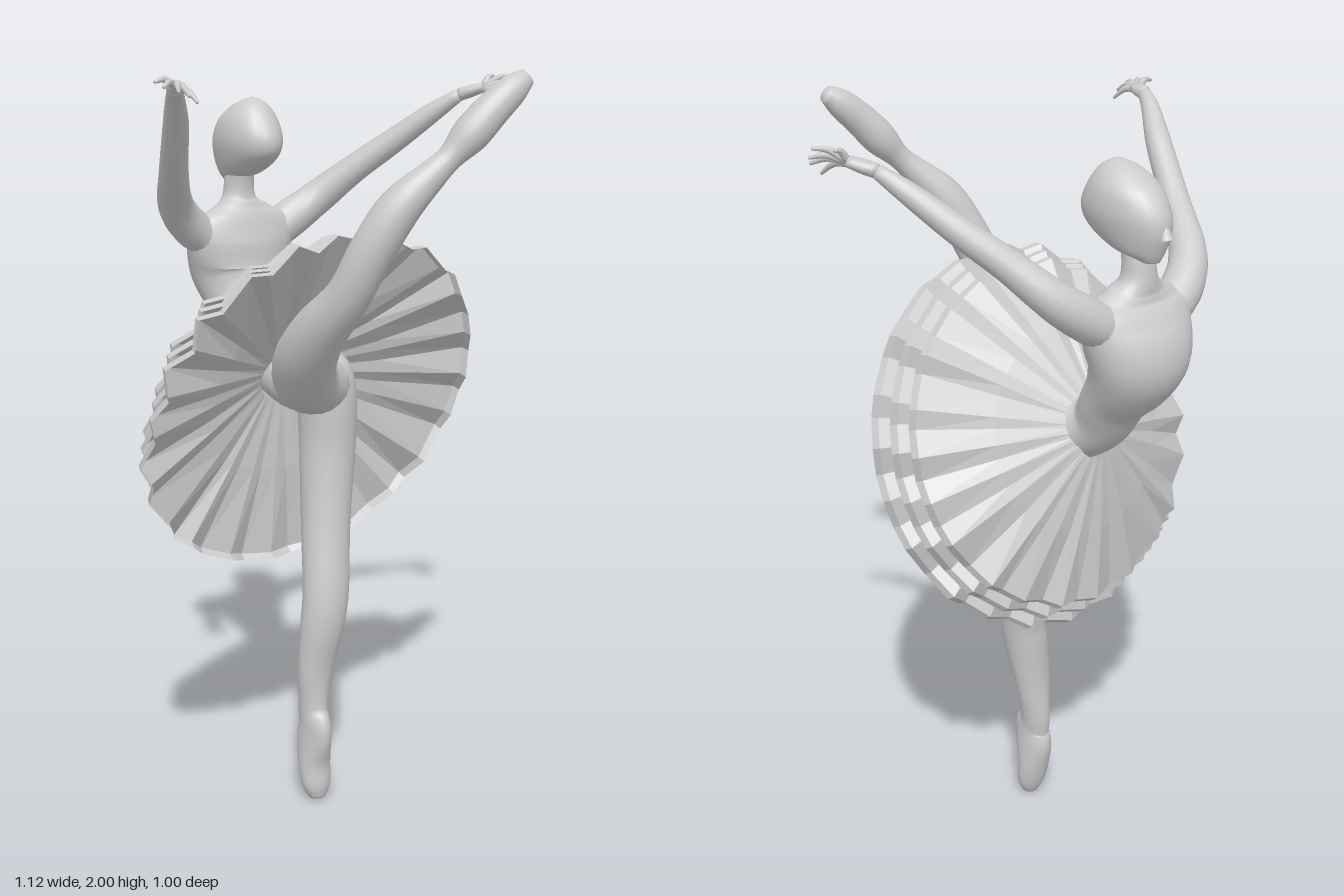
import * as THREE from 'three';

const grey = new THREE.MeshStandardMaterial({ color: 0xcccccc });
const cloth = new THREE.MeshStandardMaterial({ color: 0xcccccc, flatShading: true, side: THREE.DoubleSide });

function mesh(name, geometry, material = grey) {
  const m = new THREE.Mesh(geometry, material);
  m.name = name;
  return m;
}

// Smooth body part swept through stations [x, y, z, radiusU, radiusV]; both ends closed.
// Sections stand square to the path, or to a fixed axis if one is given.
function limb(name, stations, ref = [0, 0, 1], sides = 20, steps = 5, axis = null) {
  const path = new THREE.CatmullRomCurve3(stations.map(s => new THREE.Vector3(s[0], s[1], s[2])), false, 'catmullrom');
  const size = new THREE.CatmullRomCurve3(stations.map(s => new THREE.Vector3(s[3], s[4] ?? s[3], 0)), false, 'catmullrom');
  const n = (stations.length - 1) * steps;
  const r = new THREE.Vector3(...ref);
  const pos = [], index = [];
  for (let i = 0; i <= n; i++) {
    const c = path.getPoint(i / n), s = size.getPoint(i / n);
    const t = axis ? new THREE.Vector3(...axis) : path.getTangent(i / n);
    const u = new THREE.Vector3().crossVectors(r, t).normalize();
    const v = new THREE.Vector3().crossVectors(t, u);
    for (let j = 0; j < sides; j++) {
      const a = j / sides * Math.PI * 2;
      const p = c.clone().addScaledVector(u, Math.cos(a) * s.x).addScaledVector(v, Math.sin(a) * s.y);
      pos.push(p.x, p.y, p.z);
      if (i === n) continue;
      const k = (j + 1) % sides, o = i * sides;
      index.push(o + j, o + k, o + sides + j, o + k, o + sides + k, o + sides + j);
    }
  }
  // rounded end caps
  [0, 1].forEach(end => {
    const s = size.getPoint(end);
    const tip = path.getPoint(end).addScaledVector(path.getTangent(end), (end ? 0.4 : -0.4) * Math.min(s.x, s.y));
    const id = pos.length / 3, o = end * n * sides;
    pos.push(tip.x, tip.y, tip.z);
    for (let j = 0; j < sides; j++) {
      const k = (j + 1) % sides;
      if (end) index.push(o + j, o + k, id);
      else index.push(o + k, o + j, id);
    }
  });
  const g = new THREE.BufferGeometry();
  g.setAttribute('position', new THREE.Float32BufferAttribute(pos, 3));
  g.setIndex(index);
  g.computeVertexNormals();
  return mesh(name, g);
}

// One pleated skirt layer; profile points are [radius, height].
function pleats(name, profile, count, phase, seed) {
  const noise = i => { const s = Math.sin((i + 1) * 12.9898 + seed * 78.233) * 43758.5453; return s - Math.floor(s) - 0.5; };
  const cols = count * 2, pos = [], index = [];
  profile.forEach(([r, h], i) => {
    const k = Math.pow(r / 0.48, 2);
    for (let j = 0; j < cols; j++) {
      const fold = (j % 2 ? 1 : -1) * (0.8 + noise(j)) * k;
      const a = (j + phase + noise(j + 50) * 0.6) / cols * Math.PI * 2;
      const rr = r + fold * 0.009;
      pos.push(Math.cos(a) * rr, h + fold * 0.015, Math.sin(a) * rr);
      if (i === profile.length - 1) continue;
      const n = (j + 1) % cols, o = i * cols;
      index.push(o + j, o + n, o + cols + j, o + n, o + cols + n, o + cols + j);
    }
  });
  const g = new THREE.BufferGeometry();
  g.setAttribute('position', new THREE.Float32BufferAttribute(pos, 3));
  g.setIndex(index);
  g.computeVertexNormals();
  return mesh(name, g, cloth);
}

// Palm and fingers, each finger arching from the palm to its tip.
function hand(name, wrist, palm, tips) {
  const g = new THREE.Group();
  g.name = name;
  g.add(limb('palm', [[...wrist, 0.017], [...wrist.map((w, i) => (w + palm[i]) / 2), 0.024, 0.016], [...palm, 0.022, 0.013]], [0, 1, 0], 12, 3));
  tips.forEach((tip, i) => {
    const start = palm.map((p, k) => p + (tip[k] - p) * 0.1);
    const mid = palm.map((p, k) => p + (tip[k] - p) * 0.55 + (k === 1 ? 0.01 : 0));
    g.add(limb('finger' + (i + 1), [[...start, 0.01], [...mid, 0.008], [...tip, 0.004]], [0, 1, 0], 8, 3));
  });
  return g;
}

export function createModel() {
  const model = new THREE.Group();
  model.name = 'dancer';

  // Body: pelvis, waist, chest, shoulders and neck
  model.add(limb('torso', [
    [0.02, 1.18, -0.07, 0.07, 0.07], [-0.01, 1.20, -0.13, 0.1, 0.09], [-0.045, 1.25, -0.255, 0.082, 0.076],
    [-0.045, 1.335, -0.317, 0.1, 0.077], [-0.045, 1.405, -0.367, 0.122, 0.098], [-0.045, 1.465, -0.388, 0.142, 0.108],
    [-0.045, 1.54, -0.376, 0.162, 0.088], [-0.045, 1.59, -0.37, 0.16, 0.064], [-0.045, 1.62, -0.373, 0.1, 0.05],
    [-0.045, 1.65, -0.378, 0.05, 0.043], [-0.045, 1.70, -0.375, 0.04, 0.04], [-0.045, 1.76, -0.36, 0.04, 0.04],
  ], [0, 0, 1], 28));

  // Head, chin forward and hair swept back
  const head = new THREE.Group();
  head.name = 'head';
  head.add(limb('skull', [
    [-0.045, 1.698, -0.412, 0.022, 0.024], [-0.045, 1.722, -0.37, 0.05, 0.077], [-0.045, 1.765, -0.34, 0.068, 0.121],
    [-0.045, 1.81, -0.33, 0.077, 0.125], [-0.045, 1.86, -0.325, 0.07, 0.097], [-0.045, 1.897, -0.312, 0.044, 0.056],
    [-0.045, 1.914, -0.304, 0.016, 0.02],
  ], [0, 0, 1], 24, 5, [0, 1, 0]));
  const nose = mesh('nose', new THREE.ConeGeometry(0.017, 0.05, 8));
  nose.position.set(-0.045, 1.782, -0.455);
  nose.rotation.x = 0.25;
  head.add(nose);
  model.add(head);

  // Standing leg, on the toes
  model.add(limb('standingLeg', [
    [-0.045, 0.012, -0.015, 0.024, 0.022], [-0.045, 0.05, -0.02, 0.042, 0.034], [-0.045, 0.11, -0.03, 0.046, 0.042],
    [-0.045, 0.18, -0.03, 0.04, 0.06], [-0.045, 0.23, -0.025, 0.036, 0.058], [-0.043, 0.28, -0.038, 0.038, 0.045],
    [-0.036, 0.4, -0.033, 0.053, 0.043], [-0.022, 0.52, -0.023, 0.062, 0.056], [-0.008, 0.62, -0.025, 0.066, 0.058],
    [0.015, 0.8, -0.058, 0.068, 0.066], [0.038, 1.0, -0.082, 0.075, 0.078], [0.04, 1.13, -0.085, 0.077, 0.085],
    [0.035, 1.21, -0.085, 0.068, 0.078], [0.025, 1.26, -0.09, 0.04, 0.05],
  ]));

  // Raised leg, bent at the knee
  model.add(limb('raisedLeg', [
    [0.02, 1.18, -0.08, 0.083], [-0.08, 1.215, -0.01, 0.084], [-0.147, 1.295, 0.085, 0.08], [-0.168, 1.385, 0.18, 0.068],
    [-0.155, 1.48, 0.275, 0.055], [-0.128, 1.59, 0.33, 0.054], [-0.078, 1.69, 0.368, 0.051], [-0.01, 1.765, 0.403, 0.036],
    [0.03, 1.805, 0.419, 0.031], [0.075, 1.855, 0.435, 0.044], [0.125, 1.91, 0.452, 0.042], [0.175, 1.955, 0.465, 0.036],
    [0.21, 1.982, 0.473, 0.022],
  ], [1, -1, 0]));

  // Arms, swept up and behind
  model.add(limb('rightArm', [
    [-0.12, 1.53, -0.375, 0.05], [-0.2, 1.58, -0.368, 0.053], [-0.272, 1.65, -0.325, 0.047], [-0.34, 1.75, -0.212, 0.037],
    [-0.395, 1.865, -0.1, 0.032], [-0.435, 1.935, -0.03, 0.023], [-0.46, 1.96, 0.015, 0.017],
  ], [0, 1, 0], 16));
  model.add(limb('leftArm', [
    [0.03, 1.53, -0.375, 0.05], [0.11, 1.58, -0.37, 0.053], [0.19, 1.638, -0.345, 0.048], [0.265, 1.718, -0.275, 0.039],
    [0.34, 1.795, -0.195, 0.034], [0.405, 1.87, -0.112, 0.027], [0.45, 1.92, -0.05, 0.017],
  ], [0, 1, 0], 16));
  model.add(hand('rightHand', [-0.46, 1.96, 0.015], [-0.49, 1.965, 0.07],
    [[-0.558, 1.965, 0.135], [-0.535, 1.955, 0.16], [-0.505, 1.945, 0.155], [-0.475, 1.93, 0.14], [-0.55, 1.975, 0.08]]));
  model.add(hand('leftHand', [0.45, 1.92, -0.05], [0.49, 1.94, 0.0],
    [[0.555, 1.97, 0.045], [0.55, 1.945, 0.065], [0.53, 1.925, 0.09], [0.505, 1.9, 0.085], [0.53, 1.97, -0.005]]));

  // Tutu: three tilted layers of pleats, each wider and lower than the one above
  const tutu = new THREE.Group();
  tutu.name = 'tutu';
  for (let k = 0; k < 3; k++) {
    const rim = 0.438 + k * 0.026, h = 0.085 - k * 0.042, top = 0.24 - k * 0.05;
    tutu.add(pleats('skirtLayer' + (k + 1),
      [[0.075, top], [0.26, (top + h) / 2 + 0.003], [rim, h], [rim + 0.006, h - 0.022]], 22, k * 0.25, 1));
  }
  tutu.position.set(-0.045, 1.142, -0.03);
  tutu.rotation.x = -1.195;
  model.add(tutu);

  return model;
}
